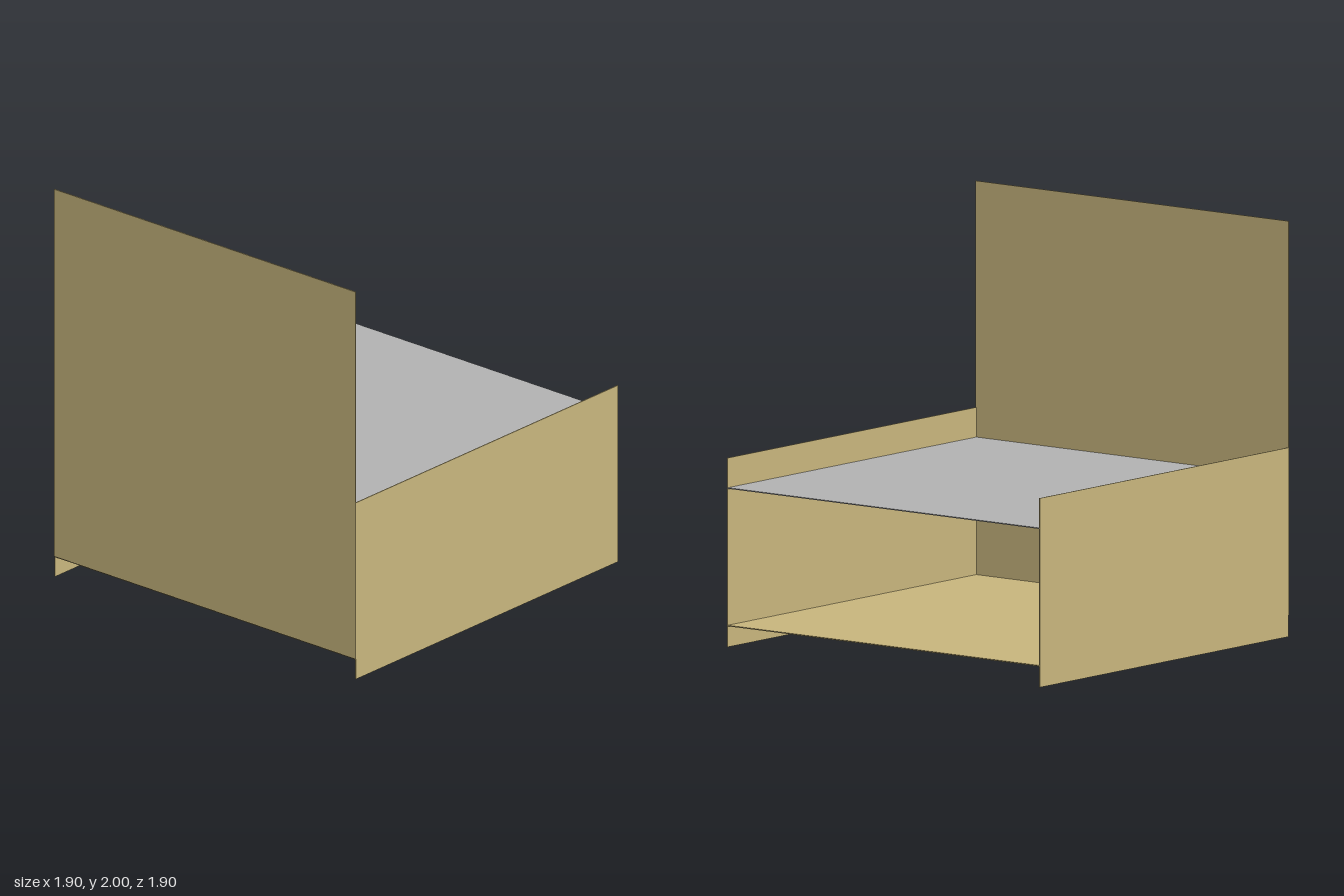
import * as THREE from 'three';

const T = 0.005; // panel thickness
const W = 1.9;   // overall width and depth

export function createModel() {
  const wood = new THREE.MeshStandardMaterial({ color: 0xc9b77e });
  wood.name = 'wood';
  const grey = new THREE.MeshStandardMaterial({ color: 0xb3b3b3 });
  grey.name = 'greyTop';

  const group = new THREE.Group();
  group.name = 'panelUnit';
  const panel = (name, material, size, position) => {
    const mesh = new THREE.Mesh(new THREE.BoxGeometry(...size), material);
    mesh.name = name;
    mesh.position.set(...position);
    group.add(mesh);
  };

  // Tall front panel, raised off the floor
  panel('frontPanel', wood, [W, 1.895, T], [0, 1.0525, W / 2 - T / 2]);

  // Low side panels standing on the floor, behind the front panel
  for (const [name, s] of [['leftSide', 1], ['rightSide', -1]]) {
    panel(name, wood, [T, 0.91, W - T], [s * (W / 2 - T / 2), 0.455, -T / 2]);
  }

  // Horizontal boards between the sides; the back stays open
  const inner = W - 2 * T;
  panel('bottomShelf', wood, [inner, T, W - T], [0, 0.1025, -T / 2]);
  panel('worktop', grey, [inner, T, W - T], [0, 0.7645, -T / 2]);

  return group;
}
